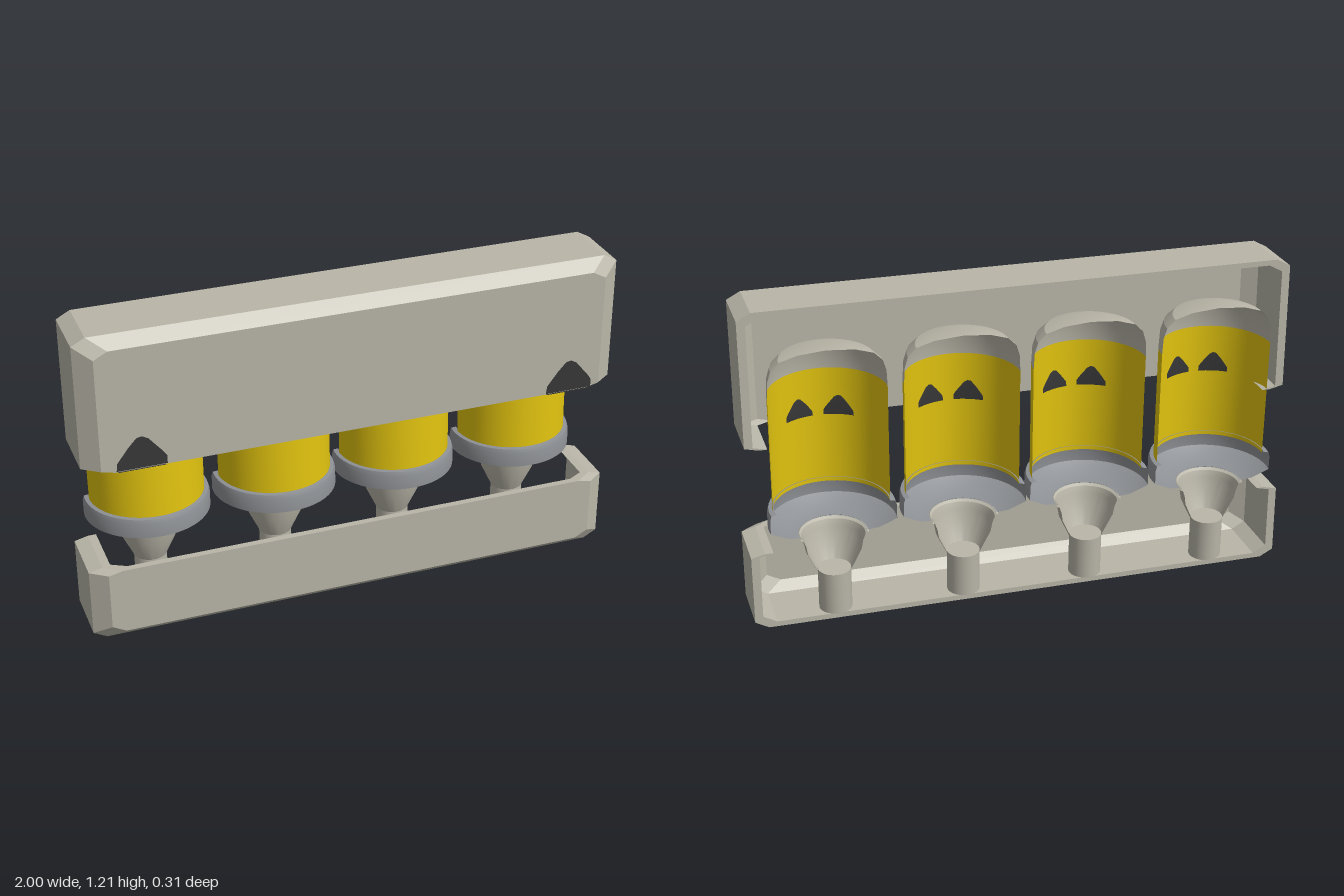
import * as THREE from 'three';
import { toCreasedNormals } from 'three/addons/utils/BufferGeometryUtils.js';

const mat = (name, color) => {
  const m = new THREE.MeshStandardMaterial({ color, side: THREE.DoubleSide });
  m.name = name;
  return m;
};

// Hollow tray, open at the back and at y = 0, with bevelled front edges
function trayGeometry(h) {
  const loop = (inset, z) => {
    const X = 1 - inset, T = h - inset * 0.65;
    const left = [[-X + 0.05, 0], [-X, 0.012], [-X, T - 0.027], [-X + 0.05, T]];
    const right = left.map(([x, y]) => [-x, y]).reverse();
    return [...left, ...right].map(([x, y]) => [x, y, z]);
  };
  const L = [loop(0.085, 0.13), loop(0.03, 0.1), loop(0.03, -0.11),
    loop(0, -0.11), loop(0, 0.11), loop(0.062, 0.155)];
  const pos = [];
  const tri = (...p) => p.forEach(v => pos.push(...v));
  const quad = (a, b, c, d) => { tri(a, c, b); tri(b, c, d); };
  // walls and back rim
  for (let k = 0; k < L.length - 1; k++)
    for (let j = 0; j < 7; j++) quad(L[k][j], L[k][j + 1], L[k + 1][j], L[k + 1][j + 1]);
  // front wall, inside and outside
  for (let j = 1; j < 7; j++) {
    tri(L[0][0], L[0][j], L[0][j + 1]);
    tri(L[5][0], L[5][j + 1], L[5][j]);
  }
  // cut edge of the walls at the open end
  const O = [L[3][0], L[4][0], L[5][0], L[5][7], L[4][7], L[3][7]];
  const I = [L[2][0], L[1][0], L[0][0], L[0][7], L[1][7], L[2][7]];
  for (let j = 0; j < 5; j++) quad(O[j], O[j + 1], I[j], I[j + 1]);
  const g = new THREE.BufferGeometry();
  g.setAttribute('position', new THREE.Float32BufferAttribute(pos, 3));
  g.computeVertexNormals();
  return g;
}

// Half shell of revolution facing the front; extra widens the arc past 180 degrees
function halfShell(profile, extra = 0) {
  const pts = profile.map(([r, y]) => new THREE.Vector2(r, y));
  return toCreasedNormals(
    new THREE.LatheGeometry(pts, 32, -Math.PI / 2 - extra, Math.PI + 2 * extra), 0.45);
}

// Rounded triangular mark, base on y = 0, centred on x = 0
function markGeometry(w, h) {
  const outline = [[-0.5, 0], [-0.48, 0.25], [-0.25, 0.7], [-0.08, 0.97], [0.03, 1],
    [0.15, 0.9], [0.42, 0.42], [0.5, 0.25], [0.5, 0], [0.25, 0], [0, 0], [-0.25, 0]];
  return new THREE.ShapeGeometry(
    new THREE.Shape(outline.map(([x, y]) => new THREE.Vector2(x * w, y * h))));
}

// Mark bent around a vertical cylinder at the given angle
function bentMark(r, angle, y) {
  const g = markGeometry(0.11, 0.075), p = g.attributes.position;
  for (let i = 0; i < p.count; i++) {
    const a = angle + p.getX(i) / r;
    p.setXYZ(i, r * Math.sin(a), y + p.getY(i), r * Math.cos(a));
  }
  g.computeVertexNormals();
  return g;
}

export function createModel() {
  const stone = mat('warm grey', 0xb9b6a8);
  const yellow = mat('yellow', 0xe2c40f);
  const steel = mat('cool grey', 0x8e9195);
  const black = mat('charcoal', 0x383838);

  const model = new THREE.Group();
  model.name = 'bottleRack';
  const add = (parent, name, geo, material, x = 0, y = 0, z = 0) => {
    const m = new THREE.Mesh(geo, material);
    m.name = name;
    m.position.set(x, y, z);
    parent.add(m);
    return m;
  };

  // Upper and lower trays
  add(model, 'upperTray', trayGeometry(0.505), stone, 0, 0.7, 0);
  add(model, 'lowerTray', trayGeometry(0.297), stone, 0, 0.297, 0).rotation.z = Math.PI;

  // Dark marks on the upper tray, folding under its lower edge
  for (const x of [-0.795, 0.815]) {
    add(model, 'trayMark', markGeometry(0.18, 0.122), black, x, 0.704, 0.158);
    add(model, 'trayMarkUnderside', new THREE.BoxGeometry(0.17, 0.004, 0.024), black, x, 0.699, 0.143);
  }

  // Upside-down bottle, modelled as a front half shell
  const parts = [
    ['bottleDome', halfShell([[0.21, 0.89], [0.207, 0.95], [0.195, 0.99], [0.165, 1.02],
      [0.1, 1.04], [0, 1.048]]), stone],
    ['bottleBody', halfShell([[0.21, 0.44], [0.21, 0.89]]), yellow],
    ['bottleCollar', halfShell([[0.12, 0.345], [0.165, 0.352], [0.229, 0.385], [0.229, 0.438],
      [0.224, 0.455], [0.205, 0.458]], 0.15), steel],
    ['bottleNeck', halfShell([[0.06, 0.19], [0.1, 0.275], [0.106, 0.31], [0.115, 0.335],
      [0.128, 0.342], [0.12, 0.348]], 0.25), stone],
    ['bottleTip', new THREE.CylinderGeometry(0.06, 0.06, 0.16, 28).translate(0, 0.12, 0), stone],
  ];
  for (const side of [-1, 1])
    for (const r of [0.206, 0.216]) parts.push(['bottleMark', bentMark(r, side * 0.36, 0.71), black]);

  for (const x of [-0.727, -0.245, 0.224, 0.702]) {
    const bottle = new THREE.Group();
    bottle.name = 'bottle';
    bottle.position.set(x, 0, -0.086);
    bottle.rotation.x = -0.034;
    for (const [name, geo, m] of parts) add(bottle, name, geo, m);
    model.add(bottle);
  }
  return model;
}
